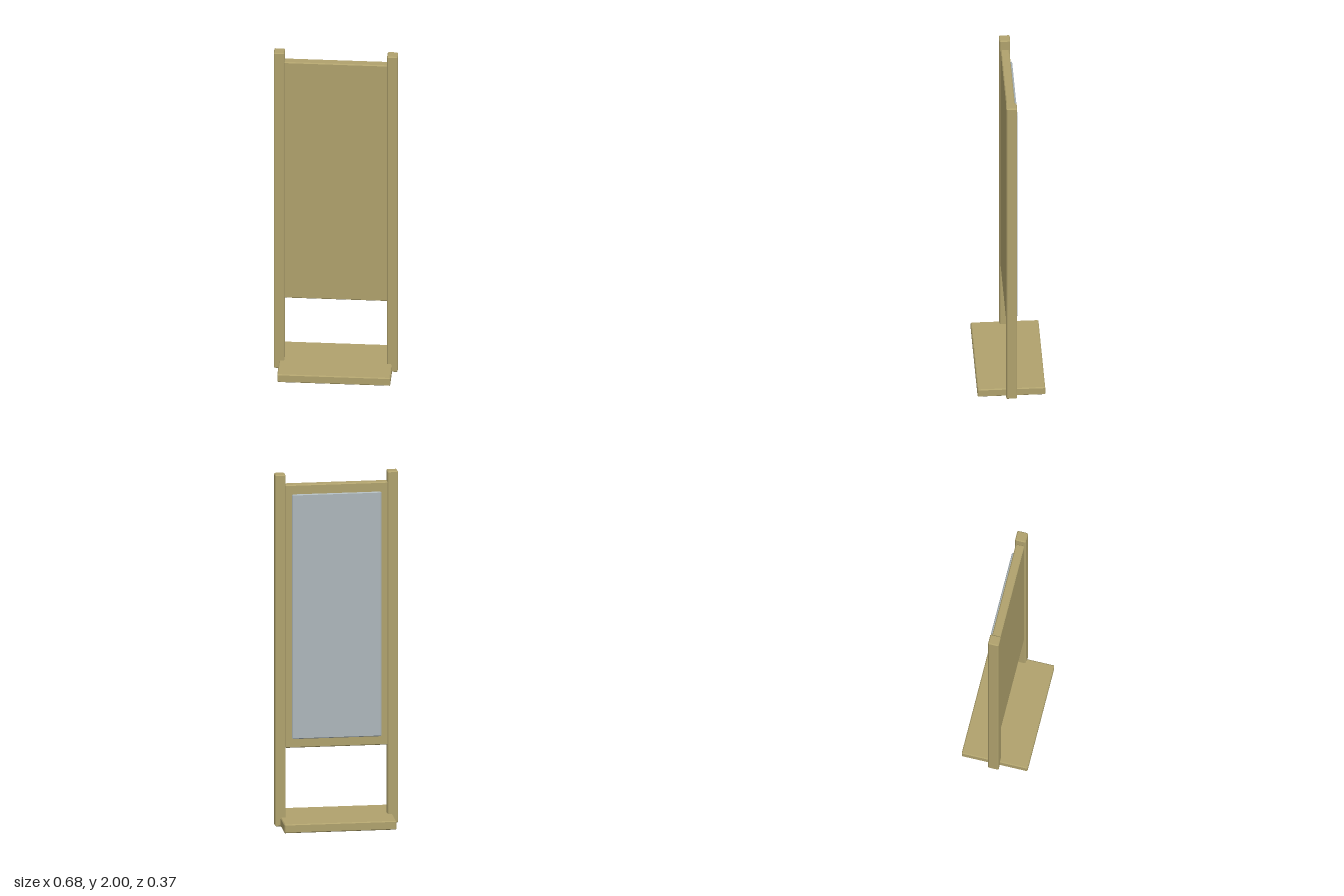
import * as THREE from 'three';
import { ConvexGeometry } from 'three/addons/geometries/ConvexGeometry.js';

// Box with 45 degree chamfers on every edge; each corner becomes three points
function chamferedBox(w, h, d, c) {
  const points = [];
  for (const x of [-1, 1]) for (const y of [-1, 1]) for (const z of [-1, 1]) {
    for (let axis = 0; axis < 3; axis++) {
      const inset = [c, c, c];
      inset[axis] = 0;
      points.push(new THREE.Vector3(
        x * (w / 2 - inset[0]),
        y * (h / 2 - inset[1]),
        z * (d / 2 - inset[2])
      ));
    }
  }
  return new ConvexGeometry(points);
}

export function createModel() {
  const wood = new THREE.MeshStandardMaterial({ name: 'wood', color: 0xb0a26d });
  const glass = new THREE.MeshStandardMaterial({ name: 'mirrorGlass', color: 0xadb7bb });
  const model = new THREE.Group();
  model.name = 'standingMirror';

  const add = (name, material, size, position, chamfer) => {
    const mesh = new THREE.Mesh(chamferedBox(...size, chamfer), material);
    mesh.name = name;
    mesh.position.set(...position);
    model.add(mesh);
  };

  // Foot board
  add('base', wood, [0.624, 0.05, 0.374], [0, 0.025, 0], 0.005);

  // Upright posts
  for (const [name, side] of [['leftPost', 1], ['rightPost', -1]]) {
    add(name, wood, [0.058, 2, 0.06], [side * 0.313, 1, 0], 0.005);
  }

  // Backing panel between the posts
  add('panel', wood, [0.572, 1.496, 0.048], [0, 1.192, -0.001], 0.005);

  // Mirror on the rear face of the panel
  add('mirror', glass, [0.496, 1.392, 0.012], [0, 1.192, -0.032], 0.005);

  return model;
}
